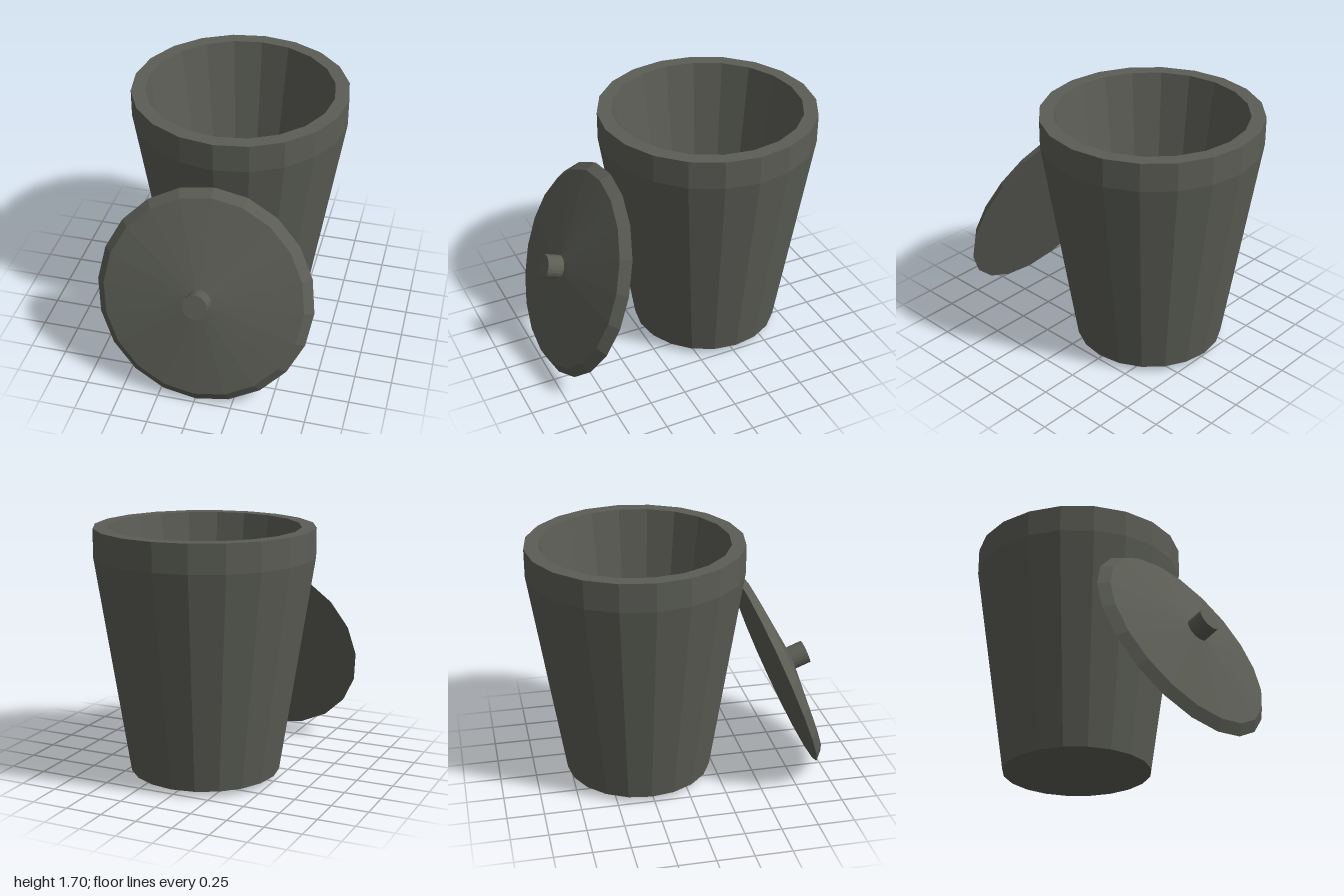
import * as THREE from 'three';

const SIDES = 20;
const material = new THREE.MeshStandardMaterial({ color: 0x5b5d55, flatShading: true });

// Faceted solid of revolution from [radius, height] pairs, listed bottom axis to top axis
function turned(name, profile) {
  const points = profile.map(([r, y]) => new THREE.Vector2(r, y));
  const mesh = new THREE.Mesh(new THREE.LatheGeometry(points, SIDES), material);
  mesh.name = name;
  return mesh;
}

export function createModel() {
  const model = new THREE.Group();
  model.name = 'binWithLid';

  // Hollow tapered bin with a straight collar and a thick wall
  const bin = turned('bin', [
    [0, 0.045], [0.505, 0.045], [0.73, 1.51], [0.73, 1.7],
    [0.635, 1.7], [0.395, 0.14], [0, 0.14],
  ]);
  bin.position.z = -0.27;
  model.add(bin);

  // Lid leaning against the front of the bin
  const lid = new THREE.Group();
  lid.name = 'lid';
  lid.position.set(0, 0.683, 0.7);
  lid.rotation.x = 1.198;
  lid.add(turned('lidPlate', [[0, 0], [0.73, 0], [0.672, 0.059], [0, 0.152]]));

  // Round knob in the middle of the lid
  const knob = new THREE.Mesh(new THREE.CylinderGeometry(0.082, 0.082, 0.136, SIDES), material);
  knob.name = 'lidKnob';
  knob.position.y = 0.188;
  lid.add(knob);
  model.add(lid);

  return model;
}
